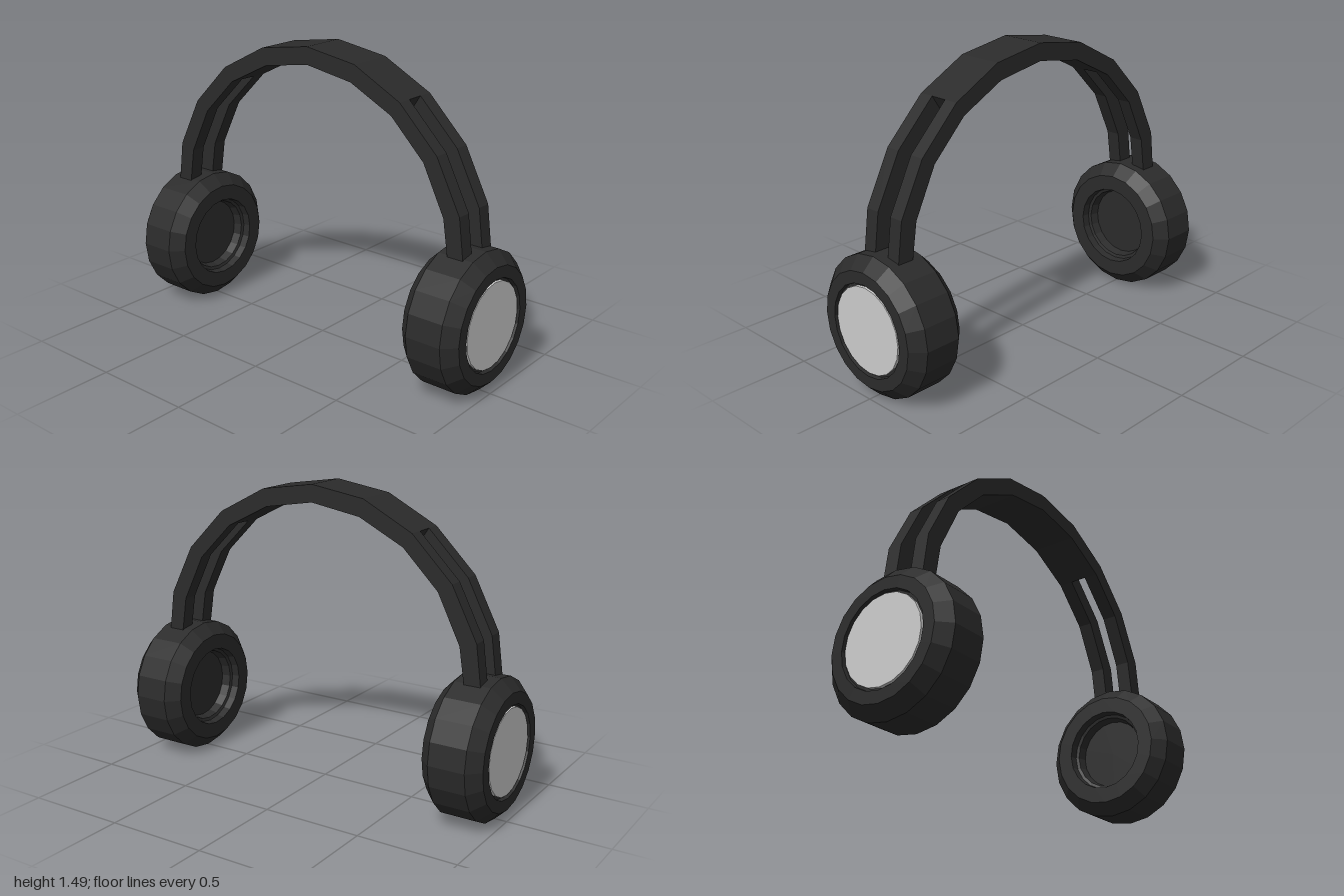
import * as THREE from 'three';

const dark = new THREE.MeshStandardMaterial({ color: 0x2b2b2b, flatShading: true });
const grey = new THREE.MeshStandardMaterial({ color: 0xcccccc, flatShading: true });

const CUP_Y = 0.342;
const SIDES = 20;
const HALF_W = 0.115; // half width of the band
const SLOT = 0.042;   // half width of the slot in each arm

// Half of the band, from the crown down into the cup: [outerX, outerY, innerX, innerY]
const half = [
  [0, 1.49, 0, 1.405],
  [0.28, 1.447, 0.26, 1.362],
  [0.535, 1.315, 0.49, 1.247],
  [0.74, 1.11, 0.67, 1.068],
  [0.868, 0.86, 0.785, 0.836],
  [0.9, 0.62, 0.82, 0.61],
];

// Faceted solid of revolution around x, given as [x, radius]
function turned(name, profile, side, material) {
  const points = profile.map(([x, r]) => new THREE.Vector2(r, x));
  const geometry = new THREE.LatheGeometry(points, SIDES);
  geometry.rotateZ(-side * Math.PI / 2);
  const mesh = new THREE.Mesh(geometry, material);
  mesh.name = name;
  mesh.position.y = CUP_Y;
  return mesh;
}

function bandGeometry() {
  const mirrored = half.slice(1).reverse().map(([a, b, c, d]) => [-a, b, -c, d]);
  const rings = [...mirrored, ...half];
  const last = rings.length - 1;
  const pos = [];
  const quad = (a, b, c, d) => pos.push(...a, ...b, ...c, ...a, ...c, ...d);
  const out = (r, z) => [r[0], r[1], z];
  const inn = (r, z) => [r[2], r[3], z];
  const cap = (r, z0, z1, facesRight) => facesRight
    ? quad(inn(r, z1), inn(r, z0), out(r, z0), out(r, z1))
    : quad(inn(r, z0), inn(r, z1), out(r, z1), out(r, z0));

  for (let i = 0; i < last; i++) {
    const p = rings[i], q = rings[i + 1];
    const slotted = i < 3 || i >= last - 3;
    const strips = slotted ? [[-HALF_W, -SLOT], [SLOT, HALF_W]] : [[-HALF_W, HALF_W]];
    for (const [z0, z1] of strips) {
      quad(out(p, z1), out(q, z1), out(q, z0), out(p, z0));
      quad(inn(p, z0), inn(q, z0), inn(q, z1), inn(p, z1));
      quad(inn(p, z1), inn(q, z1), out(q, z1), out(p, z1));
      quad(inn(q, z0), inn(p, z0), out(p, z0), out(q, z0));
      if (i === 0) cap(p, z0, z1, false);
      if (i === last - 1) cap(q, z0, z1, true);
    }
  }
  // Upper ends of the two slots
  cap(rings[3], -SLOT, SLOT, false);
  cap(rings[last - 3], -SLOT, SLOT, true);

  const geometry = new THREE.BufferGeometry();
  geometry.setAttribute('position', new THREE.Float32BufferAttribute(pos, 3));
  geometry.computeVertexNormals();
  return geometry;
}

export function createModel() {
  const group = new THREE.Group();
  group.name = 'headphones';

  const band = new THREE.Mesh(bandGeometry(), dark);
  band.name = 'headband';
  group.add(band);

  // Chamfered cup: ear opening on the inside, shallow recess on the outside
  const cupProfile = [
    [0.79, 0], [0.79, 0.175], [0.745, 0.185], [0.74, 0.2], [0.7, 0.205],
    [0.7, 0.283], [0.76, 0.342], [0.94, 0.342], [1.0, 0.283],
    [1.0, 0.225], [0.98, 0.222], [0.98, 0],
  ];
  const discProfile = [[0.975, 0.21], [0.995, 0.21], [0.995, 0]];

  for (const side of [1, -1]) {
    const ear = new THREE.Group();
    ear.name = side > 0 ? 'leftEarpiece' : 'rightEarpiece';
    ear.add(turned('earCup', cupProfile, side, dark));
    ear.add(turned('outerDisc', discProfile, side, grey));
    group.add(ear);
  }
  return group;
}
